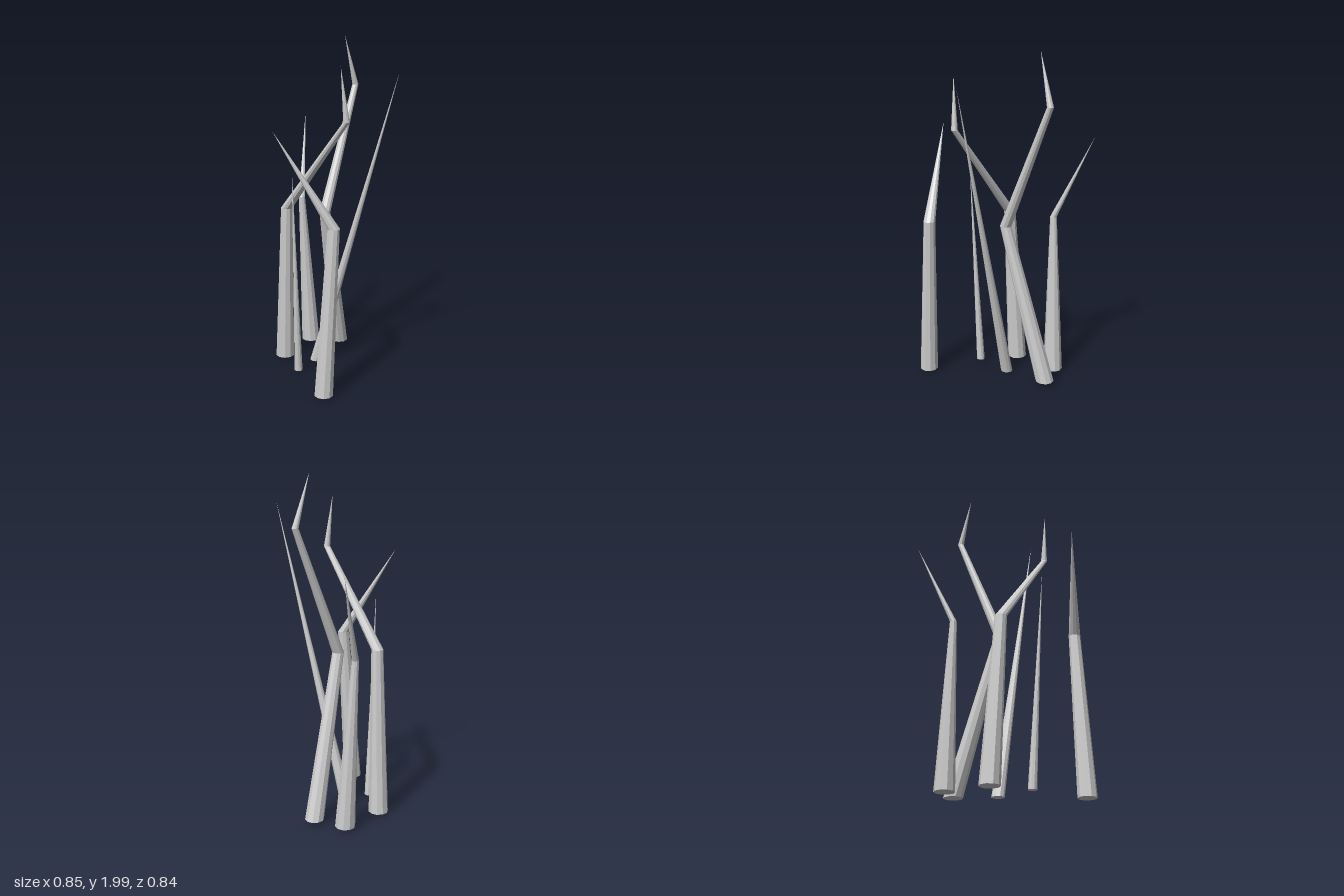
import * as THREE from 'three';

const SIDES = 10;

// Each stem: rings of [x, y, z, radius] from the base up to the pointed tip
const STEMS = {
  hookedStemLeft: [[-0.26, 0.025, 0.025, 0.058], [-0.213, 1.0, 0.053, 0.035], [0.226, 1.555, 0.068, 0.019], [0.203, 1.86, 0.094, 0]],
  hookedStemBack: [[-0.103, 0.04, -0.342, 0.055], [-0.03, 0.975, -0.084, 0.034], [-0.035, 1.705, -0.4, 0.019], [-0.052, 2.0, -0.31, 0]],
  longSpike: [[-0.077, 0.012, -0.055, 0.036], [0.42, 1.825, -0.158, 0]],
  bentStemBackLeft: [[-0.275, 0.03, -0.262, 0.058], [-0.306, 1.0, -0.215, 0.02], [-0.425, 1.49, -0.41, 0]],
  bentStemFront: [[0.248, 0.022, 0.305, 0.055], [0.27, 1.0, 0.246, 0.035], [-0.012, 1.53, 0.416, 0]],
  shortSpike: [[-0.055, 0.028, 0.151, 0.025], [-0.038, 1.29, 0.22, 0]],
};

// Tapered segment with level end rings, leaned over by a shear
function segment(a, b, open) {
  const geo = new THREE.CylinderGeometry(b[3], a[3], 1, SIDES, 1, open).translate(0, 0.5, 0);
  const shear = new THREE.Matrix4().set(
    1, b[0] - a[0], 0, a[0],
    0, b[1] - a[1], 0, a[1],
    0, b[2] - a[2], 1, a[2],
    0, 0, 0, 1,
  );
  return geo.applyMatrix4(shear);
}

export function createModel() {
  const model = new THREE.Group();
  model.name = 'stemCluster';
  const grey = new THREE.MeshStandardMaterial({ color: 0xcccccc, flatShading: true });
  grey.name = 'paleGrey';

  for (const [name, rings] of Object.entries(STEMS)) {
    const stem = new THREE.Group();
    stem.name = name;
    for (let i = 0; i + 1 < rings.length; i++) {
      // Only the lowest segment needs its bottom cap
      const mesh = new THREE.Mesh(segment(rings[i], rings[i + 1], i > 0), grey);
      mesh.name = i + 2 === rings.length ? 'tip' : i === 0 ? 'lowerStalk' : 'upperStalk';
      stem.add(mesh);
    }
    model.add(stem);
  }
  return model;
}
